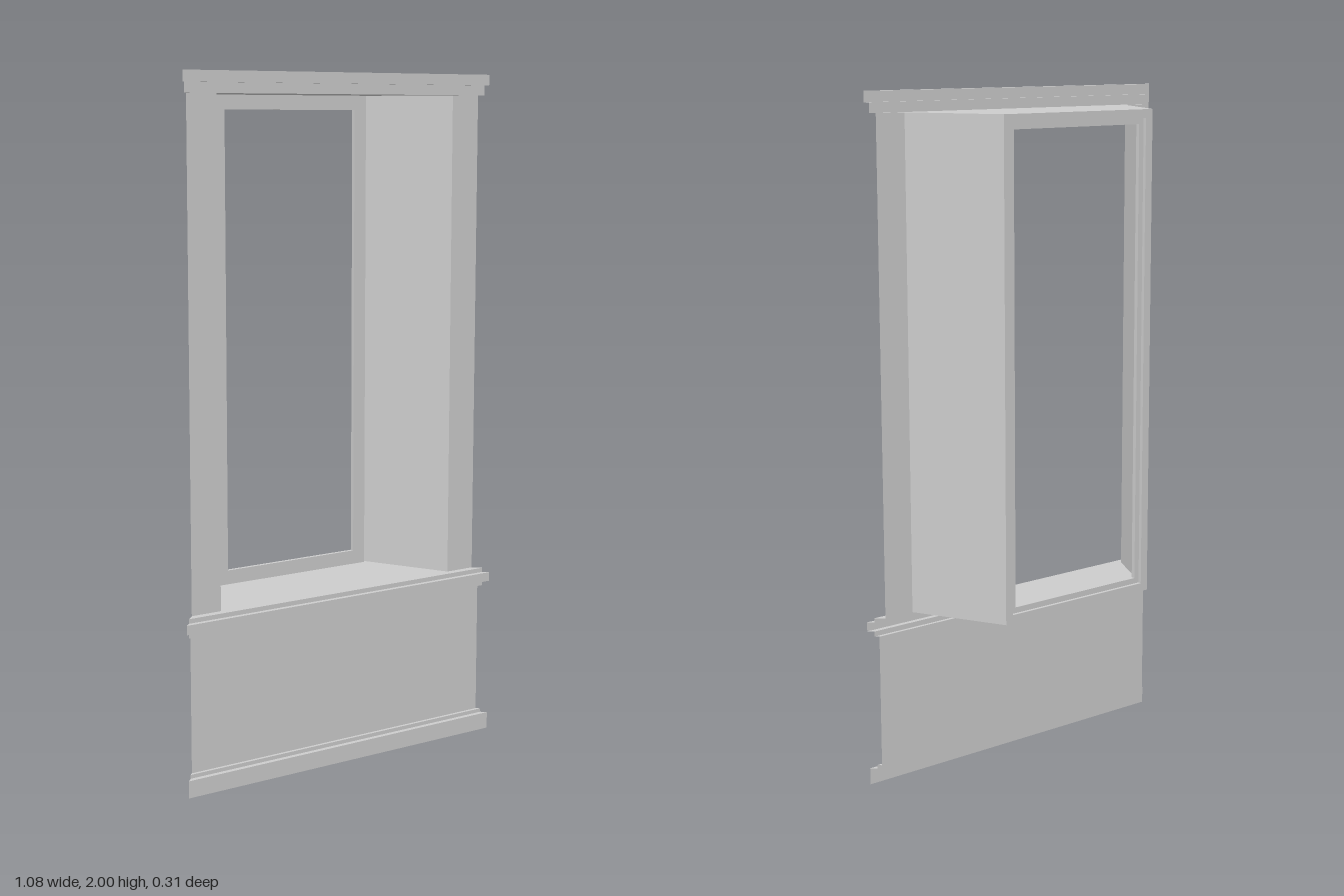
import * as THREE from 'three';

const WALL_Z = 0.115, BACK_Z = -0.153;   // facade plane and rear of the recess
const SILL_Y = 0.51, HEAD_Y = 1.94;      // floor and ceiling of the recess
const FRONT_X = 0.405, BACK_X = 0.27;    // half widths of the recess, front and rear

const material = new THREE.MeshStandardMaterial({ color: 0xcccccc, side: THREE.DoubleSide });

// Flat sheets from four-cornered faces, counter-clockwise seen from the front
function sheet(name, quads) {
  const points = quads.flatMap(([a, b, c, d]) => [a, b, c, a, c, d]).flat();
  const geometry = new THREE.BufferGeometry();
  geometry.setAttribute('position', new THREE.Float32BufferAttribute(points, 3));
  geometry.computeVertexNormals();
  const mesh = new THREE.Mesh(geometry, material);
  mesh.name = name;
  return mesh;
}

// Open moulding with mitred ends; profile of [z, y] runs from bottom to top
function moulding(name, profile) {
  const halfWidth = z => 0.5 + z - WALL_Z;
  const quads = [];
  for (let i = 0; i < profile.length - 1; i++) {
    const [z0, y0] = profile[i], [z1, y1] = profile[i + 1];
    const w0 = halfWidth(z0), w1 = halfWidth(z1);
    quads.push([[-w0, y0, z0], [w0, y0, z0], [w1, y1, z1], [-w1, y1, z1]]);
  }
  return sheet(name, quads);
}

// Rectangular ring, inset from the rear opening of the recess
function ring(name, outer, inner, z, depth) {
  const corners = inset => {
    const x = BACK_X - inset, y0 = SILL_Y + inset, y1 = HEAD_Y - inset;
    return [[-x, y0], [x, y0], [x, y1], [-x, y1]].map(p => new THREE.Vector2(...p));
  };
  const shape = new THREE.Shape(corners(outer));
  shape.holes.push(new THREE.Path(corners(inner).reverse()));
  const mesh = new THREE.Mesh(
    new THREE.ExtrudeGeometry(shape, { depth, bevelEnabled: false }), material);
  mesh.position.z = z;
  mesh.name = name;
  return mesh;
}

export function createModel() {
  const model = new THREE.Group();
  model.name = 'windowBay';

  // Lower wall and horizontal mouldings
  const panelZ = 0.128, midZ = 0.138, outZ = 0.153;
  model.add(
    moulding('plinth', [[outZ, 0], [outZ, 0.05], [midZ, 0.05], [midZ, 0.061], [panelZ, 0.061]]),
    moulding('lowerWall', [[panelZ, 0.061], [panelZ, 0.455]]),
    moulding('sill', [[panelZ, 0.455], [midZ, 0.455], [midZ, 0.47], [outZ, 0.47],
      [outZ, 0.497], [midZ, 0.497], [midZ, SILL_Y], [WALL_Z, SILL_Y]]),
    moulding('cornice', [[WALL_Z, HEAD_Y], [panelZ, HEAD_Y], [panelZ, 1.969],
      [midZ, 1.969], [midZ, 2], [WALL_Z, 2]])
  );

  // Pilaster strips and splayed side walls
  for (const [side, s] of [['left', 1], ['right', -1]]) {
    const strip = (xa, za, xb, zb) => {
      const face = [[xa * s, SILL_Y, za], [xb * s, SILL_Y, zb],
        [xb * s, HEAD_Y, zb], [xa * s, HEAD_Y, za]];
      return [s > 0 ? face : face.reverse()];
    };
    model.add(
      sheet(side + 'Pilaster', strip(FRONT_X, WALL_Z, 0.5, WALL_Z)),
      sheet(side + 'SideWall', strip(BACK_X, BACK_Z, FRONT_X, WALL_Z))
    );
  }

  // Floor and ceiling of the recess
  const level = y => [[-FRONT_X, y, WALL_Z], [FRONT_X, y, WALL_Z],
    [BACK_X, y, BACK_Z], [-BACK_X, y, BACK_Z]];
  model.add(
    sheet('recessFloor', [level(SILL_Y)]),
    sheet('recessCeiling', [level(HEAD_Y).reverse()])
  );

  // Window frame, stepped at the rear
  const frame = new THREE.Group();
  frame.name = 'windowFrame';
  frame.add(
    ring('outerFrame', 0, 0.025, BACK_Z, 0.022),
    ring('innerFrame', 0.025, 0.042, BACK_Z + 0.01, 0.012)
  );
  model.add(frame);

  return model;
}
